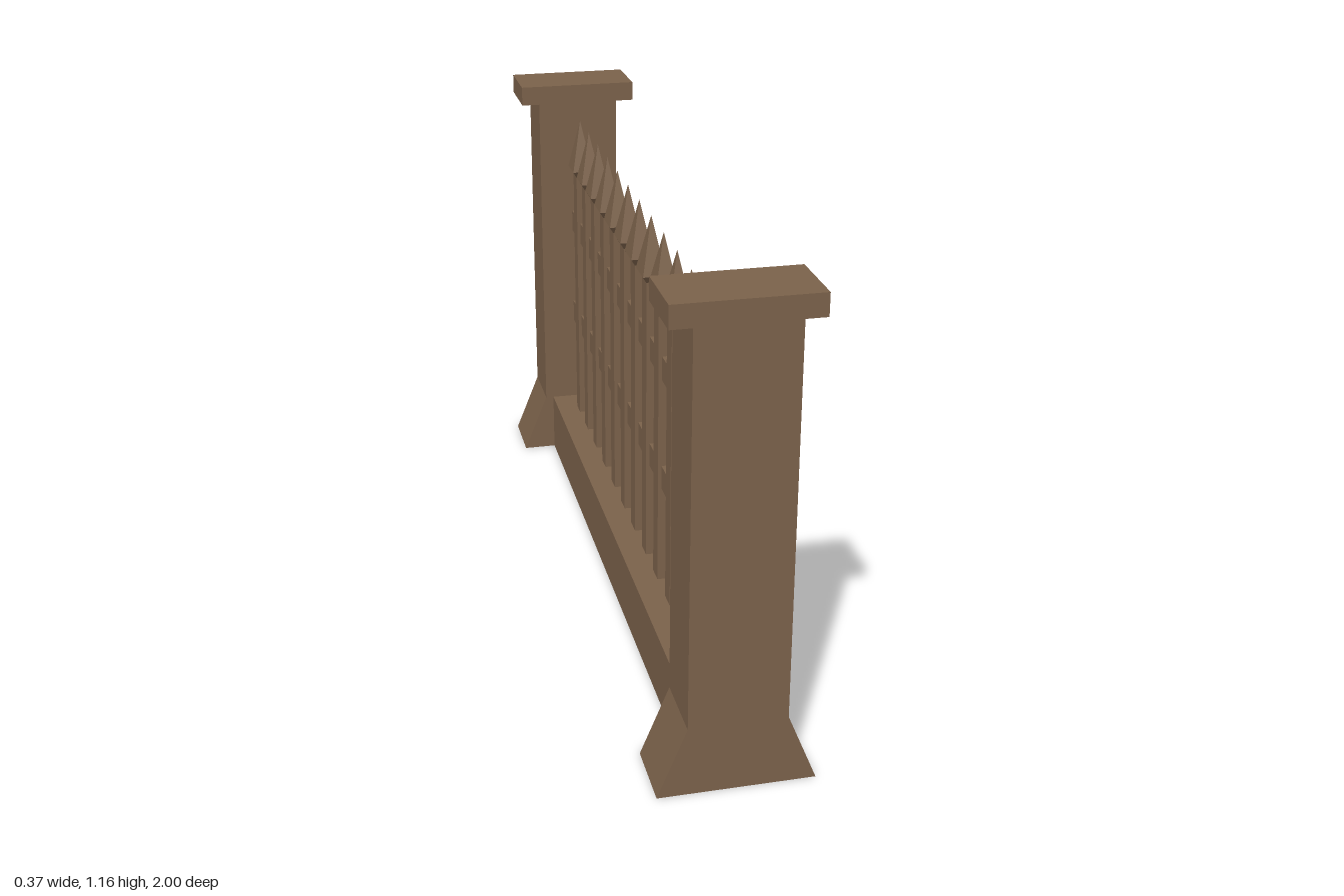
import * as THREE from 'three';

const wood = new THREE.MeshStandardMaterial({ color: 0x7a614a });
wood.name = 'brown';

function add(parent, name, geometry, x, y, z) {
  const mesh = new THREE.Mesh(geometry, wood);
  mesh.name = name;
  mesh.position.set(x, y, z);
  parent.add(mesh);
  return mesh;
}

// Four-sided tapered block with flat faces; radii are half widths before scaling
function taper(topX, topZ, bottomX, bottomZ, height) {
  const g = new THREE.BoxGeometry(2, height, 2);
  const p = g.attributes.position;
  for (let i = 0; i < p.count; i++) {
    const top = p.getY(i) > 0;
    p.setX(i, p.getX(i) * (top ? topX : bottomX));
    p.setZ(i, p.getZ(i) * (top ? topZ : bottomZ));
  }
  const flat = g.toNonIndexed();
  flat.computeVertexNormals();
  return flat;
}

export function createModel() {
  const model = new THREE.Group();
  model.name = 'fence';

  // End pillars: flared foot, straight shaft and overhanging cap in one profile
  const half = [[0.184, 0], [0.115, 0.17], [0.115, 1.112], [0.165, 1.112], [0.165, 1.165]];
  const outline = [...half, ...half.map(([x, y]) => [-x, y]).reverse()];
  const profile = new THREE.Shape(outline.map(([x, y]) => new THREE.Vector2(x, y)));
  const pillar = new THREE.ExtrudeGeometry(profile, { depth: 0.17, bevelEnabled: false });
  add(model, 'frontPillar', pillar, 0, 0, 0.83);
  add(model, 'backPillar', pillar, 0, 0, -1);

  // Low wall between the pillars
  add(model, 'plinth', new THREE.BoxGeometry(0.184, 0.17, 1.66), 0, 0.085, 0);

  // Horizontal rails
  const rail = new THREE.BoxGeometry(0.026, 0.062, 1.66);
  add(model, 'lowerRail', rail, -0.009, 0.458, 0);
  add(model, 'upperRail', rail, -0.009, 0.75, 0);

  // Pickets with spear heads
  const post = new THREE.BoxGeometry(0.034, 0.76, 0.048);
  const collar = taper(0.029, 0.04, 0.017, 0.024, 0.02);
  const point = taper(0.0002, 0.0002, 0.029, 0.04, 0.143);
  for (let i = 0; i < 12; i++) {
    const picket = new THREE.Group();
    picket.name = 'picket' + (i + 1);
    picket.position.set(-0.014, 0, 0.7225 - i * 0.1314);
    add(picket, 'post', post, 0, 0.545, 0);
    add(picket, 'spearCollar', collar, 0, 0.932, 0);
    add(picket, 'spearPoint', point, 0, 1.0135, 0);
    model.add(picket);
  }
  return model;
}
